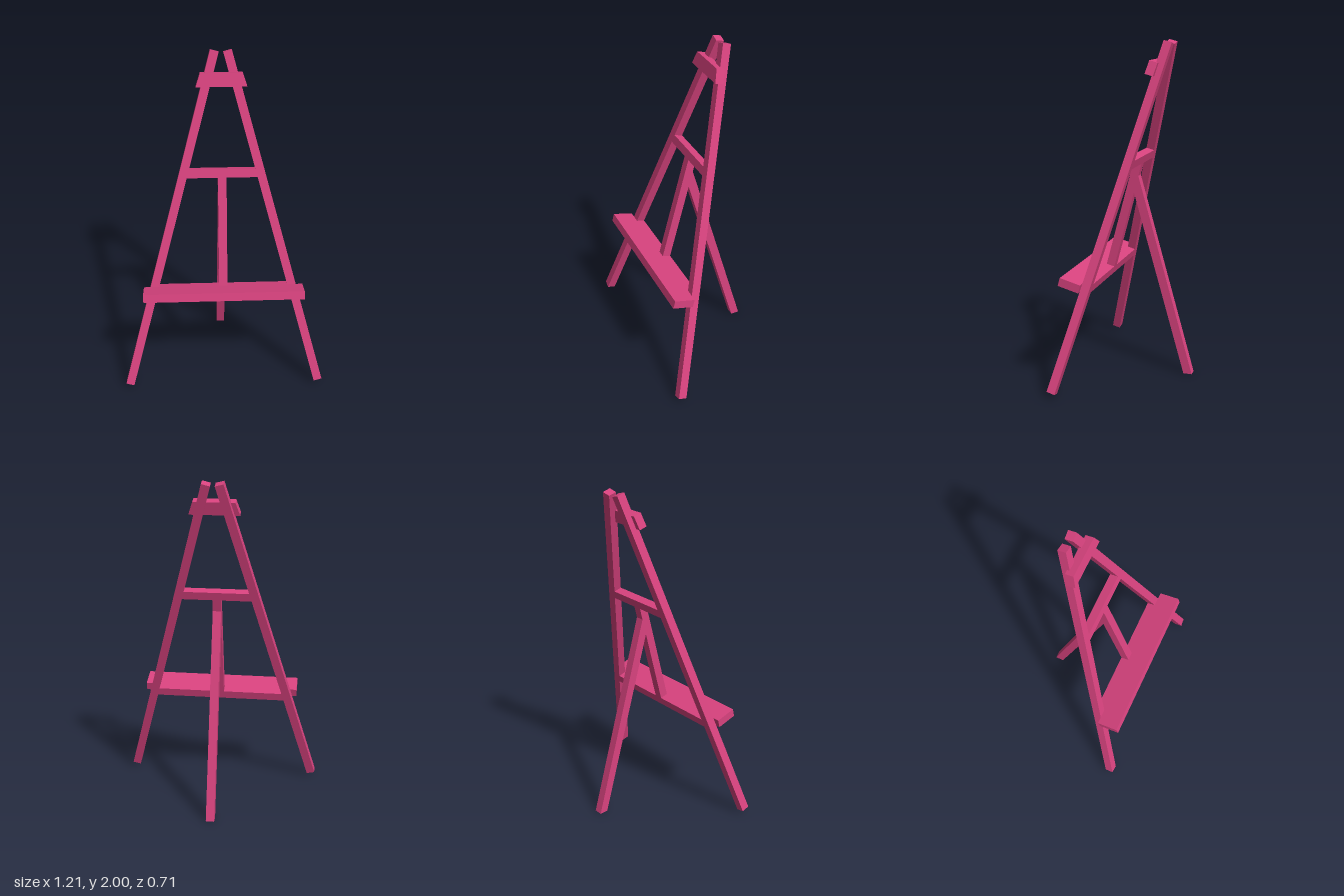
import * as THREE from 'three';

const TILT = Math.PI / 12; // lean of the frame and splay of its legs
const T = 0.05;            // timber thickness
const LEG_X = 0.309;       // leg centre at mid height

const wood = new THREE.MeshStandardMaterial({ color: 0xd9437f, flatShading: true });

function add(parent, name, geometry, x = 0, y = 0, z = 0) {
  const mesh = new THREE.Mesh(geometry, wood);
  mesh.name = name;
  mesh.position.set(x, y, z);
  parent.add(mesh);
  return mesh;
}

// Prism from a 2D outline, centred on its depth
function prism(points, depth) {
  const shape = new THREE.Shape(points.map(([x, y]) => new THREE.Vector2(x, y)));
  return new THREE.ExtrudeGeometry(shape, { depth, bevelEnabled: false }).translate(0, 0, -depth / 2);
}

// Symmetric board with slanted ends
const trapezoid = (y0, y1, half0, half1, depth) =>
  prism([[-half0, y0], [half0, y0], [half1, y1], [-half1, y1]], depth);

// Inner edge of the splayed legs at a height in the frame
const innerX = (y) => LEG_X - y * Math.tan(TILT) - T / 2 / Math.cos(TILT);
const rail = (y0, y1) => trapezoid(y0, y1, innerX(y0), innerX(y1), T);

export function createModel() {
  const model = new THREE.Group();
  model.name = 'easel';

  // Leaning front frame
  const frame = new THREE.Group();
  frame.name = 'frontFrame';
  frame.position.set(0, 1.0075, 0.0665);
  frame.rotation.x = -TILT;
  model.add(frame);

  for (const side of [1, -1]) {
    const leg = add(frame, side > 0 ? 'leftLeg' : 'rightLeg', new THREE.BoxGeometry(T, 2.1, T), side * LEG_X);
    leg.rotation.z = side * TILT;
  }

  // Rails between the legs and the centre post
  add(frame, 'crossbar', rail(0.29, 0.34));
  add(frame, 'centrePost', new THREE.BoxGeometry(T, 0.665, T), 0, -0.0425, 0);

  // Shelf: wide ledge in front, inner part notched between the legs
  add(frame, 'shelfLedge', new THREE.BoxGeometry(0.95, T, 0.127), 0, -0.4, 0.0885);
  add(frame, 'shelfInner', rail(-0.425, -0.375));

  // Top board, let into the legs
  add(frame, 'topBoard', trapezoid(0.82, 0.897, 0.145, 0.12, T), 0, 0, 0.035);

  // Rear strut, cut flat at the floor and flush against the post
  const strut = add(model, 'rearLeg',
    prism([[-0.354, 0], [-0.302, 0], [0.014, 1.11], [-0.013, 1.21]], T));
  strut.rotation.y = -Math.PI / 2;

  return model;
}
